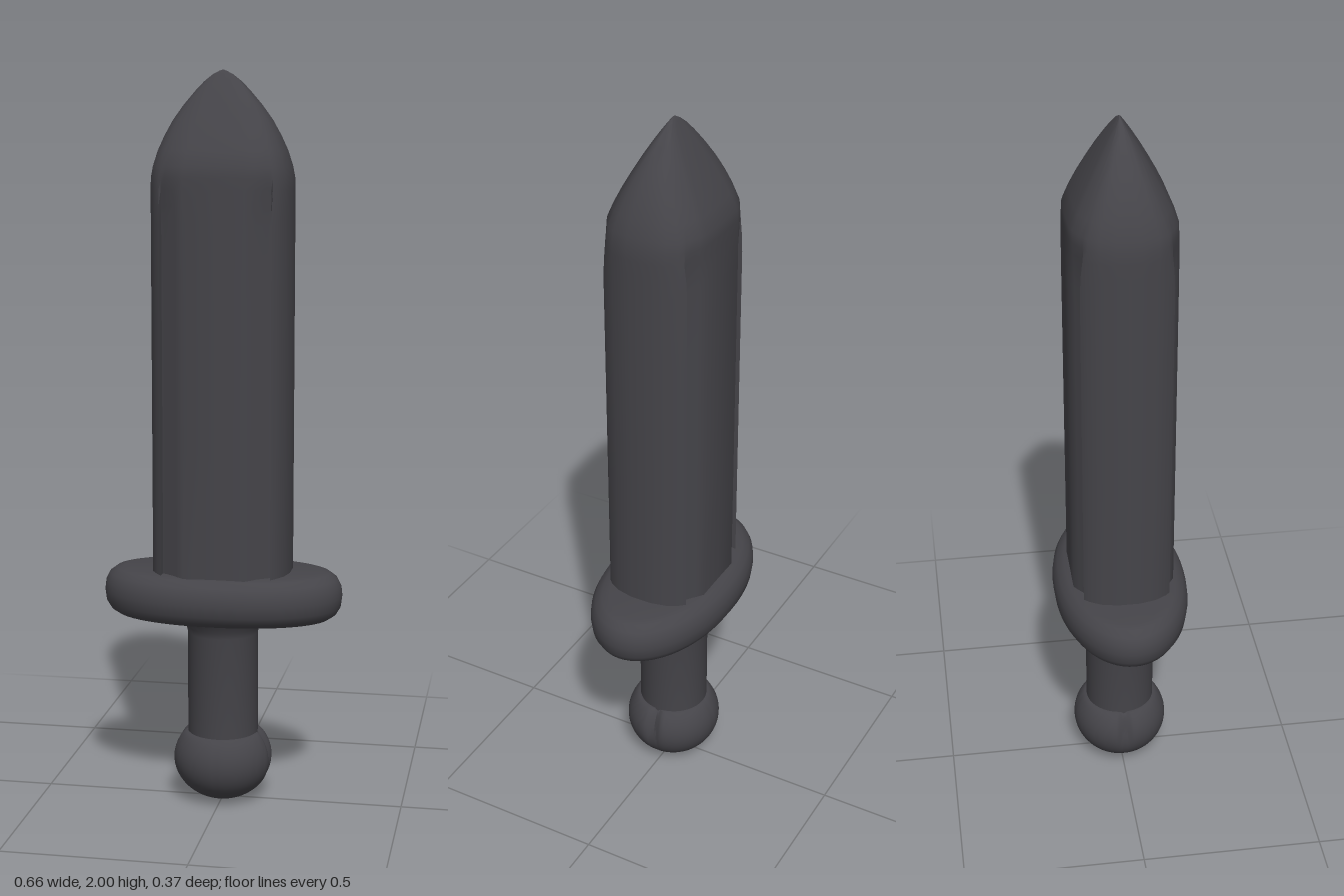
import * as THREE from 'three';
import { toCreasedNormals } from 'three/addons/utils/BufferGeometryUtils.js';

const darkGrey = new THREE.MeshStandardMaterial({ color: 0x454449 });
darkGrey.name = 'darkGrey';

// Skins a stack of equal-length rings, listed from bottom to top
function loft(rings, crease) {
  const n = rings[0].length, index = [];
  for (let i = 0; i < rings.length - 1; i++) {
    for (let j = 0; j < n; j++) {
      const a = i * n + j, b = i * n + (j + 1) % n;
      index.push(a, a + n, b, b, a + n, b + n);
    }
  }
  const geo = new THREE.BufferGeometry();
  geo.setAttribute('position', new THREE.Float32BufferAttribute(rings.flat(2), 3));
  geo.setIndex(index);
  return toCreasedNormals(geo, crease);
}

function part(name, geometry) {
  const mesh = new THREE.Mesh(geometry, darkGrey);
  mesh.name = name;
  return mesh;
}

// Quarter outlines of the blade, from its edge (+x) to its face (+z)
const GROOVED = [[0.19, 0], [0.19, 0.03], [0.18, 0.075], [0.162, 0.107], [0.149, 0.119],
  [0.147, 0.098], [0.138, 0.103], [0.105, 0.127], [0.083, 0.14], [0, 0.14]];
const FULL = [[0.19, 0], [0.19, 0.03], [0.18, 0.075], [0.162, 0.1], [0.152, 0.108],
  [0.145, 0.113], [0.135, 0.119], [0.108, 0.132], [0.083, 0.138], [0, 0.14]];

function bladeRing(y, w, d, t) {
  const q = GROOVED.map(([x, z], i) => [
    THREE.MathUtils.lerp(x, FULL[i][0], t) * w, THREE.MathUtils.lerp(z, FULL[i][1], t) * d]);
  const inner = q.slice(1, -1), back = [...inner].reverse();
  const last = q[q.length - 1];
  return [
    ...q.map(([x, z]) => [x, y, z]),
    ...back.map(([x, z]) => [-x, y, z]),
    [-q[0][0], y, 0],
    ...inner.map(([x, z]) => [-x, y, -z]),
    [0, y, -last[1]],
    ...back.map(([x, z]) => [x, y, -z]),
  ];
}

function createBlade() {
  // height, width factor, depth factor, how far the grooves have faded
  const rows = [
    [0.6, 0.01, 0.01, 0], [0.601, 1, 1, 0], [1.0, 1, 1, 0], [1.4, 1, 1, 0], [1.6, 1, 1, 0],
    [1.65, 1, 1, 0.25], [1.69, 1, 1, 0.65], [1.72, 0.995, 1, 0.9], [1.75, 0.965, 0.99, 1],
    [1.79, 0.9, 0.87, 1], [1.83, 0.805, 0.73, 1], [1.87, 0.69, 0.575, 1], [1.91, 0.54, 0.415, 1],
    [1.945, 0.385, 0.265, 1], [1.97, 0.26, 0.15, 1], [1.988, 0.14, 0.065, 1],
    [1.997, 0.05, 0.02, 1], [2.0, 0.005, 0.005, 1],
  ];
  return part('blade', loft(rows.map(r => bladeRing(...r)), 0.55));
}

// Oval guard with a rounded rim
function createGuard() {
  const rows = [[0.525, 0.186], [0.525, 0.055], [0.529, 0.035], [0.542, 0.016], [0.562, 0.004],
    [0.592, 0], [0.618, 0.003], [0.64, 0.014], [0.654, 0.033], [0.659, 0.055], [0.659, 0.186]];
  const rings = rows.map(([y, inset]) => Array.from({ length: 64 }, (_, j) => {
    const a = j / 64 * Math.PI * 2, c = Math.cos(a);
    const x = Math.sign(c) * Math.pow(Math.abs(c), 0.94);
    return [x * (0.33 - inset), y, Math.sin(a) * (0.187 - inset)];
  }));
  return part('guard', loft(rings, 0.8));
}

// Round grip that flares where it meets the guard
function createGrip() {
  const profile = [[0.097, 0.15], [0.097, 0.48], [0.101, 0.497], [0.112, 0.515], [0.12, 0.53]]
    .map(p => new THREE.Vector2(...p));
  const grip = part('grip', toCreasedNormals(new THREE.LatheGeometry(profile, 40), 0.8));
  grip.material = darkGrey;
  return grip;
}

// Ball pommel, flattened on top and creased down both sides
function createPommel() {
  const profile = [];
  for (let i = 0; i <= 20; i++) {
    const a = -Math.PI / 2 + i / 20 * 2.16;
    profile.push([Math.max(0.001, Math.cos(a) * 0.137), 0.125 + Math.sin(a) * 0.12]);
  }
  profile.push([0.105, 0.2], [0.09, 0.201]);
  const rings = profile.map(([r, y]) => Array.from({ length: 96 }, (_, j) => {
    const a = j / 96 * Math.PI * 2, z = Math.sin(a) * r * 0.975;
    const depth = 0.13 * THREE.MathUtils.smoothstep(y, 0.02, 0.17);
    const pinch = 1 - depth * Math.exp(-Math.pow(Math.sin(a) / 0.13, 2));
    return [Math.cos(a) * r * pinch, y - 0.004, z];
  }));
  return part('pommel', loft(rings, 0.7));
}

export function createModel() {
  const group = new THREE.Group();
  group.name = 'shortSword';
  group.add(createBlade(), createGuard(), createGrip(), createPommel());
  return group;
}
